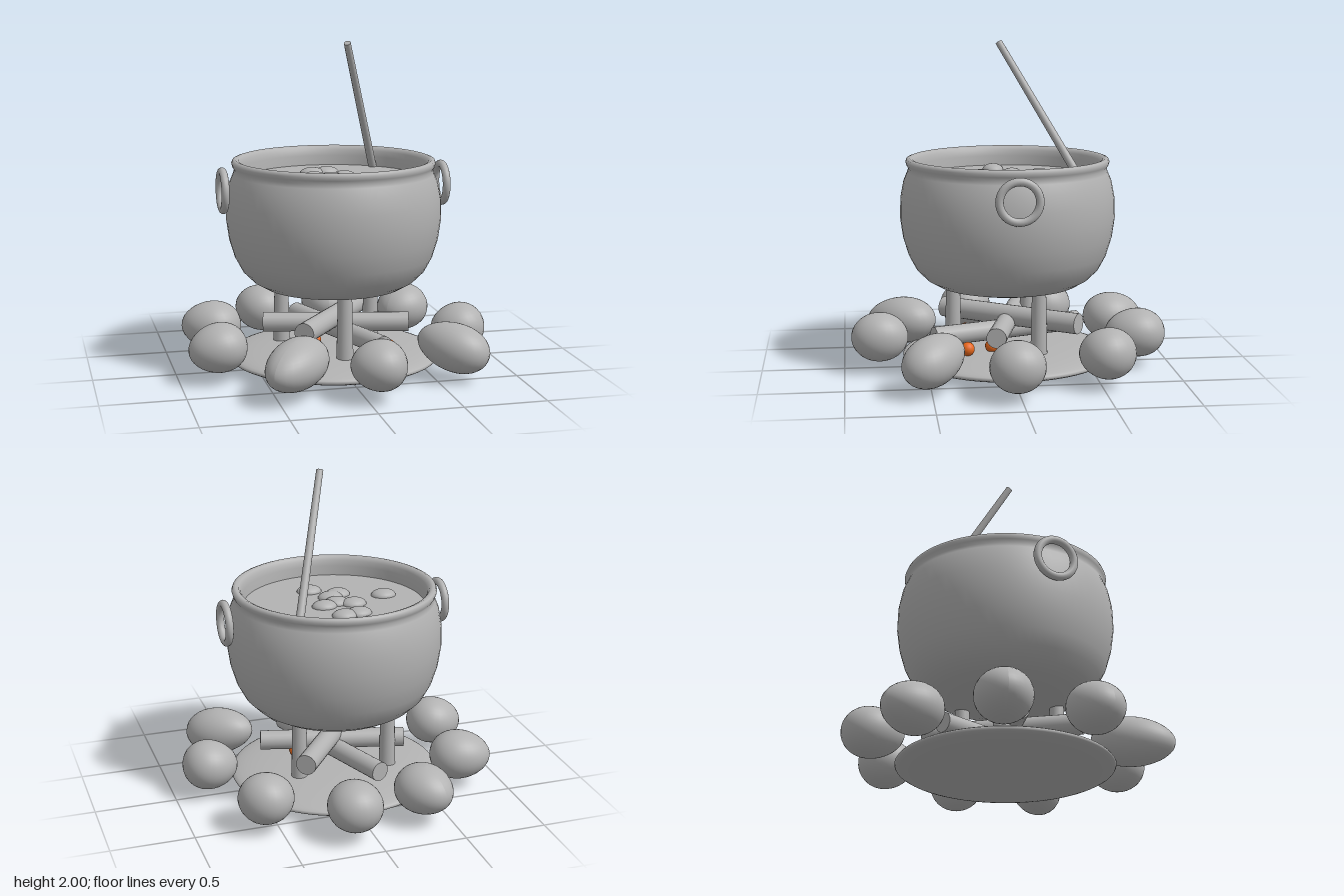
import * as THREE from 'three';

const V3 = (p) => new THREE.Vector3(...p);

export function createModel() {
  const model = new THREE.Group();
  model.name = 'cauldronOnCampfire';
  const grey = new THREE.MeshStandardMaterial({ color: 0xb2b2b2 });
  grey.name = 'stone grey';
  const orange = new THREE.MeshStandardMaterial({ color: 0xe8681c });
  orange.name = 'ember orange';

  const add = (name, geometry, material, pos = [0, 0, 0], parent = model) => {
    const mesh = new THREE.Mesh(geometry, material);
    mesh.name = name;
    mesh.position.set(...pos);
    parent.add(mesh);
    return mesh;
  };
  const groupOf = (name) => {
    const g = new THREE.Group();
    g.name = name;
    model.add(g);
    return g;
  };
  // Round bar from a to b
  const bar = (name, a, b, rA, rB, parent = model) => {
    const from = V3(a), to = V3(b), dir = to.clone().sub(from);
    const mesh = add(name, new THREE.CylinderGeometry(rB, rA, dir.length(), 20), grey,
      from.clone().add(to).multiplyScalar(0.5).toArray(), parent);
    mesh.quaternion.setFromUnitVectors(new THREE.Vector3(0, 1, 0), dir.normalize());
    return mesh;
  };

  const cx = -0.018;

  // Pot: outer belly, rolled rim and inner wall in one turned profile
  const profile = [
    [0, 0.48], [0.2, 0.483], [0.33, 0.49], [0.43, 0.515], [0.5, 0.555], [0.56, 0.615],
    [0.605, 0.7], [0.638, 0.81], [0.655, 0.93], [0.652, 1.05], [0.633, 1.15], [0.61, 1.205],
    [0.602, 1.23], [0.613, 1.25], [0.619, 1.27], [0.612, 1.287], [0.595, 1.293],
    [0.575, 1.285], [0.563, 1.265], [0.555, 1.23], [0.55, 1.15],
  ].map((p) => new THREE.Vector2(...p));
  add('pot', new THREE.LatheGeometry(profile, 64), grey, [cx, 0, -0.005]);

  // Brew surface with bubbles
  add('brew', new THREE.CylinderGeometry(0.553, 0.553, 0.03, 64), grey, [cx, 1.155, -0.005]);
  const bubbles = groupOf('bubbles');
  for (const [x, z] of [[-0.105, -0.215], [-0.01, -0.23], [-0.13, -0.045], [0.055, -0.04],
    [-0.035, 0], [-0.355, 0.05], [-0.03, 0.105], [-0.09, 0.15], [0.06, 0.255]]) {
    add('bubble', new THREE.SphereGeometry(0.078, 20, 14), grey, [x, 1.17, z], bubbles)
      .scale.set(1, 0.5, 0.85);
  }

  // Stirring stick
  bar('stirringStick', [0.345, 1.14, -0.43], [0.052, 1.99, 0.055], 0.026, 0.021);

  // Side rings
  for (const s of [-1, 1]) {
    add(s < 0 ? 'rightRing' : 'leftRing', new THREE.TorusGeometry(0.116, 0.024, 14, 40), grey,
      [cx + s * 0.682, 1.12, 0]).rotation.y = Math.PI / 2;
  }

  // Three legs
  for (let i = 0; i < 3; i++) {
    const a = Math.PI / 2 + (i * Math.PI * 2) / 3;
    const x = cx - 0.01 + 0.33 * Math.cos(a), z = 0.33 * Math.sin(a);
    bar('leg', [x, 0.1, z], [x, 0.54, z], 0.052, 0.042);
  }

  // Lens-shaped ash bed
  add('ashBed', new THREE.SphereGeometry(1, 64, 24), grey, [cx, 0.075, -0.005])
    .scale.set(0.645, 0.073, 0.645);

  // Crossed logs
  const logs = groupOf('logs');
  bar('log', [-0.285, 0.31, 0.37], [0.29, 0.315, -0.4], 0.063, 0.063, logs);
  bar('log', [-0.44, 0.27, -0.11], [0.43, 0.275, 0.11], 0.06, 0.06, logs);
  bar('log', [-0.16, 0.23, -0.46], [0.175, 0.23, 0.46], 0.06, 0.06, logs);

  // Embers
  const embers = groupOf('embers');
  for (const [x, z, r] of [[-0.215, 0.24, 0.043], [0.26, 0.265, 0.042], [0.2, 0.115, 0.04],
    [0.085, 0.06, 0.035], [-0.14, -0.2, 0.035], [-0.14, 0.03, 0.035]]) {
    add('ember', new THREE.SphereGeometry(r, 18, 12), orange, [x, 0.172, z], embers);
  }

  // Ring of stones: x, y, z, half sizes, yaw, roll; each narrows a little toward its -x end
  const stones = groupOf('stones');
  const stoneList = [
    [0.775, 0.2, 0.025, 0.17, 0.15, 0.162, 0, 0.1],
    [0.6, 0.205, 0.485, 0.23, 0.145, 0.15, -0.72, -0.2],
    [0.06, 0.215, 0.785, 0.163, 0.148, 0.172, 0, 0],
    [-0.39, 0.205, 0.64, 0.25, 0.145, 0.16, 0.85, 0.12],
    [-0.772, 0.21, 0.2, 0.177, 0.148, 0.164, 0.1, 0.12],
    [-0.73, 0.21, -0.34, 0.188, 0.15, 0.165, -0.3, 0],
    [-0.345, 0.21, -0.72, 0.19, 0.148, 0.165, -1.2, 0],
    [0.113, 0.21, -0.78, 0.185, 0.148, 0.163, 1.45, 0],
    [0.567, 0.205, -0.525, 0.172, 0.15, 0.165, 0.7, 0.1],
  ];
  for (const [x, y, z, a, b, c, yaw, roll] of stoneList) {
    const g = new THREE.SphereGeometry(1, 28, 20);
    const p = g.attributes.position;
    for (let i = 0; i < p.count; i++) {
      const k = 1 + 0.1 * p.getX(i);
      p.setXYZ(i, p.getX(i) * a, p.getY(i) * b * k, p.getZ(i) * c * k);
    }
    g.computeVertexNormals();
    add('stone', g, grey, [x, y, z], stones).rotation.set(0, yaw, roll);
  }

  return model;
}
